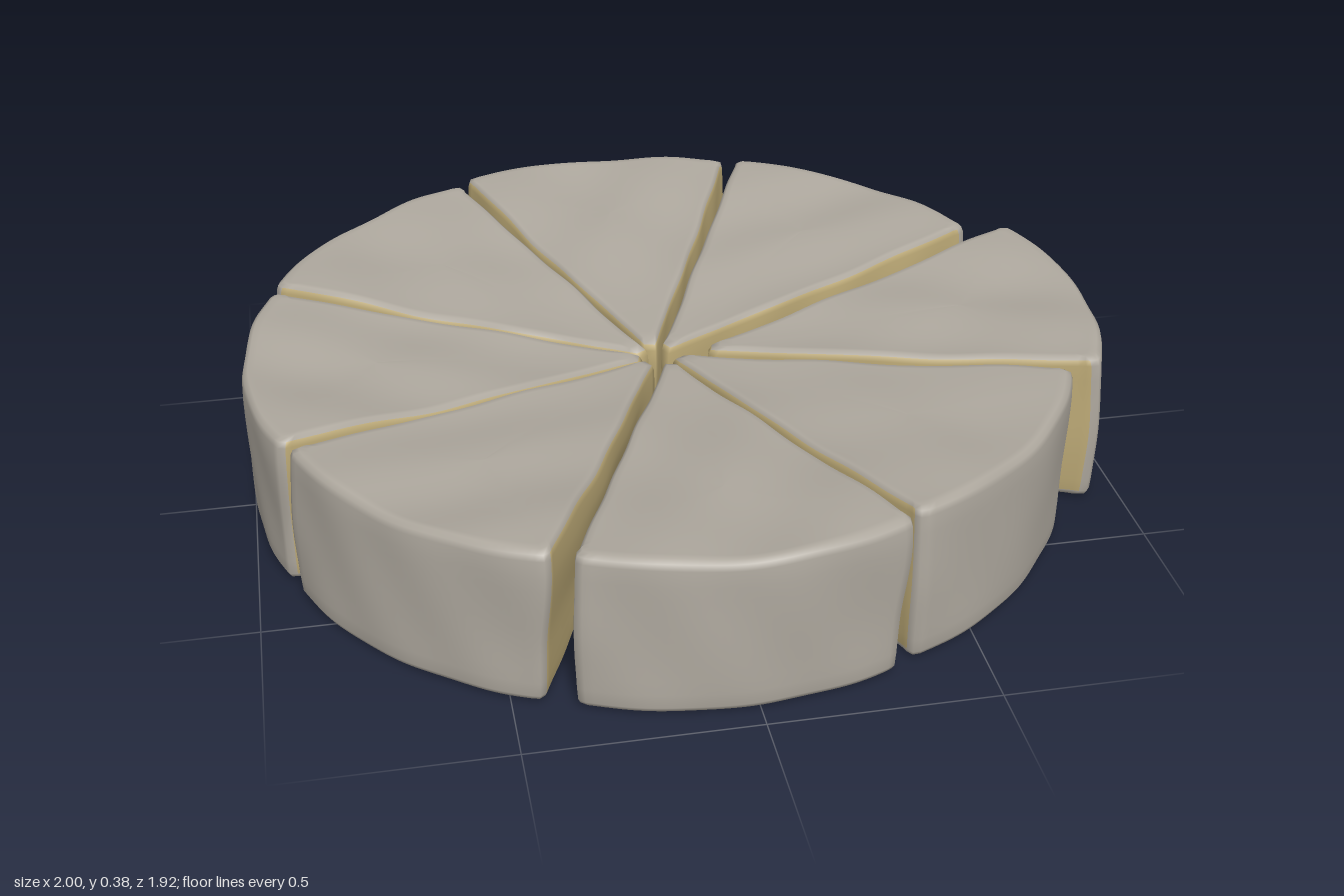
import * as THREE from 'three';

const RADIUS = 0.922, HALF_ANGLE = 0.39, HEIGHT = 0.377, CENTRE = 0.62, POINTS = 140;
const { smoothstep, clamp } = THREE.MathUtils;

// Wedge outline seen from above: tip at the origin, rim towards +x, softened corners
function wedgeOutline() {
  const at = (r, a) => [r * Math.cos(a), r * Math.sin(a)];
  const a = HALF_ANGLE, soft = 0.02;
  const s = new THREE.Shape();
  s.moveTo(...at(0.02, -a));
  s.lineTo(...at(RADIUS - soft, -a));
  s.quadraticCurveTo(...at(RADIUS, -a), ...at(RADIUS, -a + soft));
  s.absarc(0, 0, RADIUS, -a + soft, a - soft, false);
  s.quadraticCurveTo(...at(RADIUS, a), ...at(RADIUS - soft, a));
  s.lineTo(...at(0.02, a));
  s.quadraticCurveTo(0, 0, ...at(0.02, -a));
  return s.getSpacedPoints(POINTS).slice(0, POINTS);
}

// Top relief: sinks evenly towards the tip, lifts at the rim corners, with soft lumps
function topRelief(x, z) {
  const r = clamp(Math.hypot(x, z) / RADIUS, 0, 1);
  const lumps = 0.004 * Math.sin(13 * x + 1) * Math.cos(15 * z + 0.6) + 0.003 * Math.sin(19 * z - 9 * x);
  return -0.07 * (1 - r) + 0.1 * z * z * r + lumps;
}
const rimBump = (y, z) =>
  0.002 * Math.sin(13 * z + 9 * y) + 0.0015 * Math.sin(27 * z - 17 * y + 2);
const cutBump = (x, y) =>
  0.0025 * Math.sin(15 * y + 7 * x) + 0.0015 * Math.sin(29 * x - 19 * y);

// Outline point at a height: slightly swollen walls, one of them undercut towards the base
function bentPoint(p, h) {
  const side = clamp(p.y / (Math.max(p.x, 0.01) * Math.tan(HALF_ANGLE)), -1, 1);
  const r = p.length() / RADIUS;
  const fromTip = smoothstep(p.x, 0, 0.15);
  const undercut = side < 0 ? 0.024 * (1 - smoothstep(h, 0.13, 0.33)) * fromTip : 0;
  const swell = 0.007 - 0.003 * r ** 4 + cutBump(p.x, h) * fromTip;
  // The tip reaches furthest at the top
  let x = p.x + (0.02 - 0.032 * smoothstep(h, 0, 0.3)) * (1 - smoothstep(p.x, 0, 0.1));
  // Rim: small dents, leaning in at the upper corner of one side
  if (r > 0.97) x += rimBump(h, p.y) - 0.008 * smoothstep(side, 0.3, 1) * smoothstep(h, 0.15, HEIGHT);
  return [x, p.y + side * (swell - undercut)];
}

// Profile rows from the middle of the base, up the side, to the middle of the top: [inset, height]
function profileRows() {
  const rows = [];
  const flat = [1, 0.85, 0.7, 0.55, 0.4, 0.28, 0.18, 0.1];
  flat.forEach(i => rows.push([i, 0.002]));
  rows.push([0.055, 0.005], [0.02, 0.011], [0.004, 0.022]);
  const cutStart = rows.length - 1;
  for (let i = 1; i <= 9; i++) rows.push([0, 0.022 + (HEIGHT - 0.05) * i / 10]);
  rows.push([0.004, HEIGHT - 0.022], [0.016, HEIGHT - 0.008]);
  const cutEnd = rows.length - 1;
  rows.push([0.05, HEIGHT]);
  flat.reverse().forEach(i => rows.push([i, HEIGHT]));
  return { rows, cutStart, cutEnd };
}

function wedgeGeometry() {
  const outline = wedgeOutline();
  const { rows, cutStart, cutEnd } = profileRows();
  const positions = [], rind = [], paste = [];

  for (const [inset, h] of rows) {
    for (const p of outline) {
      const [px, pz] = bentPoint(p, h);
      const x = CENTRE + (px - CENTRE) * (1 - inset);
      const z = pz * (1 - inset);
      positions.push(x, h + topRelief(x, z) * smoothstep(h, 0.1, HEIGHT), z);
    }
  }

  // Cut walls go to the paste, everything else to the rind
  for (let i = 0; i < rows.length - 1; i++) {
    for (let j = 0; j < POINTS; j++) {
      const k = (j + 1) % POINTS;
      const a = i * POINTS + j, b = i * POINTS + k;
      const d = a + POINTS, c = b + POINTS;
      const isCut = i >= cutStart && i < cutEnd &&
        Math.max(outline[j].length(), outline[k].length()) < RADIUS - 0.012;
      (isCut ? paste : rind).push(a, d, b, b, d, c);
    }
  }

  const g = new THREE.BufferGeometry();
  g.setAttribute('position', new THREE.Float32BufferAttribute(positions, 3));
  g.setIndex([...rind, ...paste]);
  g.addGroup(0, rind.length, 0);
  g.addGroup(rind.length, paste.length, 1);
  g.computeVertexNormals();
  return g;
}

export function createModel() {
  const rindMaterial = new THREE.MeshStandardMaterial({ color: 0xaea89e });
  rindMaterial.name = 'grey rind';
  const pasteMaterial = new THREE.MeshStandardMaterial({ color: 0xbca976 });
  pasteMaterial.name = 'yellow paste';

  const model = new THREE.Group();
  model.name = 'slicedCheeseWheel';
  const geometry = wedgeGeometry();

  // Tip position (x, z) of each wedge, every 45 degrees; the first is pulled out
  const tips = [
    [0.075, -0.012], [-0.005, 0.01], [-0.021, 0.031], [-0.062, 0.022],
    [-0.075, 0.005], [-0.066, -0.016], [-0.05, -0.04], [-0.021, -0.03],
  ];
  tips.forEach(([x, z], i) => {
    const wedge = new THREE.Mesh(geometry, [rindMaterial, pasteMaterial]);
    wedge.name = i === 0 ? 'pulledOutWedge' : `wedge${i}`;
    wedge.position.set(x, 0, z);
    wedge.rotation.y = -i * Math.PI / 4;
    model.add(wedge);
  });
  return model;
}
